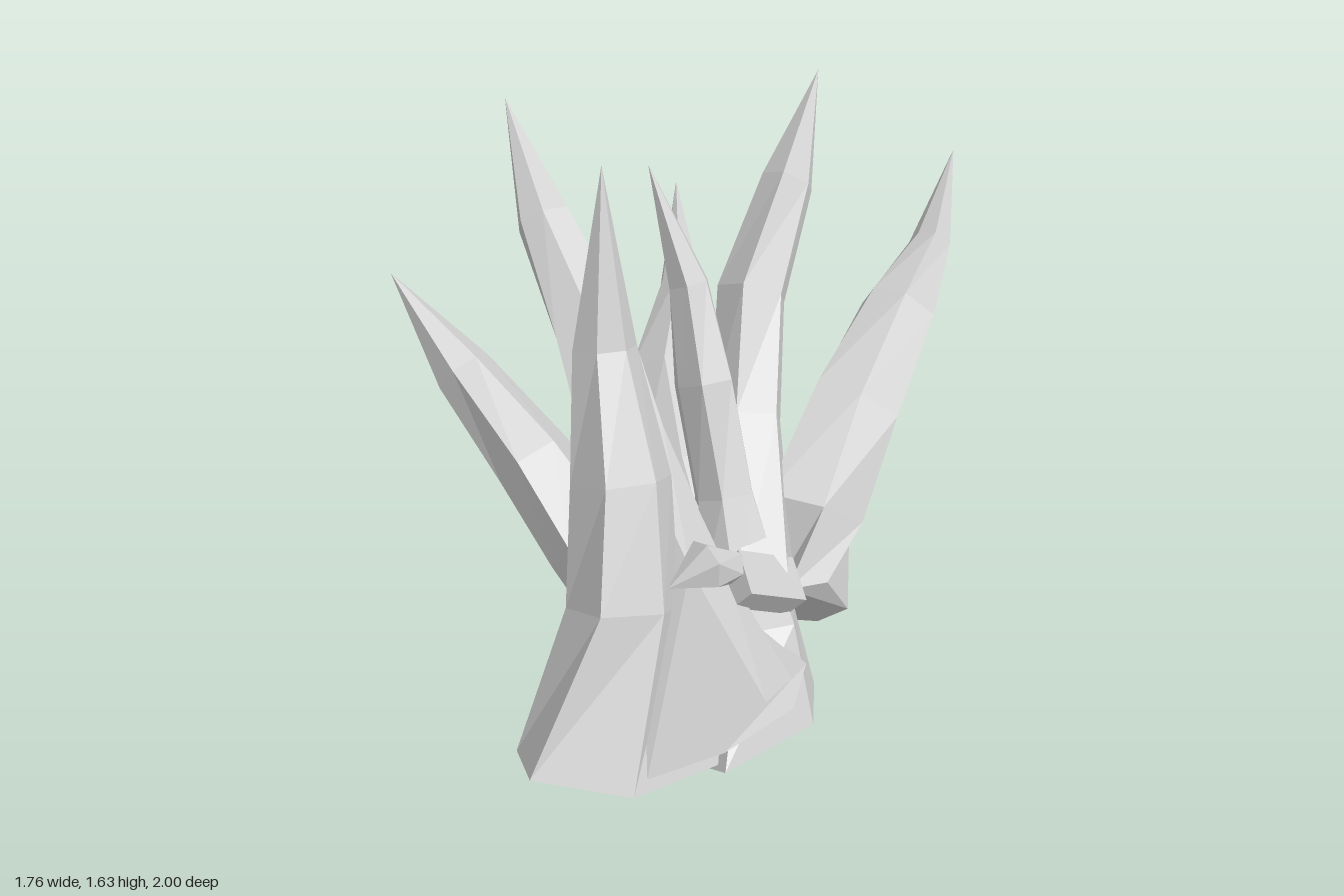
import * as THREE from 'three';

const SIDES = 6;
const material = new THREE.MeshStandardMaterial({ color: 0xcccccc, flatShading: true });

// Faceted spike: rows of [x, y, z, radius] from the base up to the tip (radius 0).
// A slanted, broken base can be given as six corners, replacing the first ring.
function spike(name, rows, turn, seed, baseCorners = []) {
  const points = rows.map(r => new THREE.Vector3(r[0], r[1], r[2]));
  const positions = [];
  const index = [];
  rows.forEach((row, i) => {
    const before = points[Math.max(i - 1, 0)];
    const after = points[Math.min(i + 1, points.length - 1)];
    const axis = after.clone().sub(before).normalize();
    const u = new THREE.Vector3(1, 0, 0).addScaledVector(axis, -axis.x).normalize();
    const v = axis.clone().cross(u);
    for (let j = 0; j < SIDES; j++) {
      if (i === 0 && baseCorners[j]) {
        positions.push(...baseCorners[j]);
        continue;
      }
      const angle = turn + (j / SIDES) * Math.PI * 2;
      const r = row[3] * (1 + 0.13 * Math.sin(seed * 3.7 + j * 2.4 + i * 0.9));
      const p = points[i].clone()
        .addScaledVector(u, r * Math.cos(angle))
        .addScaledVector(v, r * Math.sin(angle));
      positions.push(p.x, p.y, p.z);
    }
  });
  for (let i = 0; i < rows.length - 1; i++) {
    for (let j = 0; j < SIDES; j++) {
      const k = (j + 1) % SIDES;
      const a = i * SIDES + j, b = i * SIDES + k;
      index.push(a, b, b + SIDES);
      if (rows[i + 1][3] > 0) index.push(a, b + SIDES, a + SIDES);
    }
  }
  // Flat cut at the base
  for (let j = 1; j < SIDES - 1; j++) index.push(0, j + 1, j);

  const geometry = new THREE.BufferGeometry();
  geometry.setAttribute('position', new THREE.Float32BufferAttribute(positions, 3));
  geometry.setIndex(index);
  const flat = geometry.toNonIndexed();
  flat.computeVertexNormals();
  const mesh = new THREE.Mesh(flat, material);
  mesh.name = name;
  return mesh;
}

export function createModel() {
  const group = new THREE.Group();
  group.name = 'crystalCluster';

  // Spikes with broad, broken bases
  group.add(
    spike('frontSpike', [
      [-0.40, 0.18, 0.78, 0.27], [-0.35, 0.54, 0.58, 0.17], [-0.325, 0.85, 0.45, 0.14],
      [-0.345, 1.17, 0.32, 0.08], [-0.33, 1.63, 0.22, 0]], 0.1, 1,
    [[-0.13, 0.16, 0.80], [-0.27, 0.09, 0.62], [-0.50, 0.10, 0.60],
      [-0.66, 0.21, 0.71], [-0.64, 0.28, 0.91], [-0.39, 0.26, 1.00]]),
    spike('centreSpike', [
      [-0.01, 0.10, 0.56, 0.24], [-0.01, 0.37, 0.47, 0.145], [-0.04, 0.70, 0.34, 0.085],
      [-0.07, 0.98, 0.21, 0.09], [-0.09, 1.22, 0.09, 0.065], [-0.18, 1.53, -0.01, 0]], 0.3, 2,
    [[0.20, 0.11, 0.46], [0.07, 0.03, 0.31], [-0.17, 0.00, 0.40],
      [-0.25, 0.05, 0.62], [-0.13, 0.17, 0.85], [0.14, 0.17, 0.70]]),
    spike('rearRightSpike', [
      [-0.12, 0.33, 0.81, 0.21], [-0.17, 0.51, 0.49, 0.14], [-0.28, 0.77, 0.15, 0.125],
      [-0.34, 1.00, -0.11, 0.11], [-0.44, 1.24, -0.36, 0.075], [-0.51, 1.51, -0.65, 0]], 0.5, 3,
    [[0.13, 0.33, 0.64], [0.08, 0.25, 0.72], [-0.13, 0.23, 0.84],
      [-0.35, 0.28, 0.96], [-0.04, 0.45, 0.92], [0.06, 0.39, 0.77]]),
    spike('leftSpike', [
      [0.17, 0.35, 0.40, 0.17], [0.22, 0.57, 0.27, 0.155], [0.385, 0.775, 0.06, 0.13],
      [0.58, 0.945, -0.19, 0.105], [0.73, 1.06, -0.38, 0.06], [0.88, 1.24, -0.67, 0]], 0.6, 5,
    [[0.30, 0.33, 0.42], [0.25, 0.19, 0.28], [0.11, 0.22, 0.28],
      [0.07, 0.36, 0.40], [0.10, 0.50, 0.53], [0.22, 0.48, 0.49]]),
  );

  // Spikes rooted inside the cluster
  group.add(
    spike('rearLeftSpike', [
      [0.01, 0.48, 0.45, 0.12], [0.05, 0.82, 0.15, 0.11], [0.11, 1.10, -0.06, 0.115],
      [0.25, 1.355, -0.23, 0.085], [0.38, 1.61, -0.44, 0]], 0.2, 4),
    spike('rightSpike', [
      [-0.22, 0.36, 0.58, 0.15], [-0.41, 0.59, 0.34, 0.14], [-0.53, 0.76, 0.17, 0.12],
      [-0.70, 0.945, -0.04, 0.08], [-0.88, 1.17, -0.23, 0]], 0.0, 6),
    spike('backSpike', [
      [-0.04, 0.28, 0.38, 0.15], [-0.09, 0.54, -0.03, 0.135], [-0.09, 0.70, -0.34, 0.125],
      [0.00, 0.87, -0.62, 0.07], [0.05, 1.06, -1.00, 0]], 0.4, 7),
  );

  // Small fragments lodged between the spikes
  group.add(
    spike('footFragment', [
      [-0.31, 0.10, 0.71, 0.10], [-0.28, 0.22, 0.66, 0.12], [-0.25, 0.40, 0.60, 0]], 0.2, 8),
    spike('upperFragment', [
      [-0.06, 0.60, 0.54, 0.05], [-0.13, 0.64, 0.57, 0.065], [-0.24, 0.61, 0.62, 0]], 0.4, 9),
  );
  const block = new THREE.Mesh(new THREE.BoxGeometry(0.2, 0.08, 0.13), material);
  block.name = 'blockFragment';
  block.position.set(0.03, 0.54, 0.54);
  block.rotation.set(0.5, 0.1, -0.6);
  group.add(block);

  return group;
}
